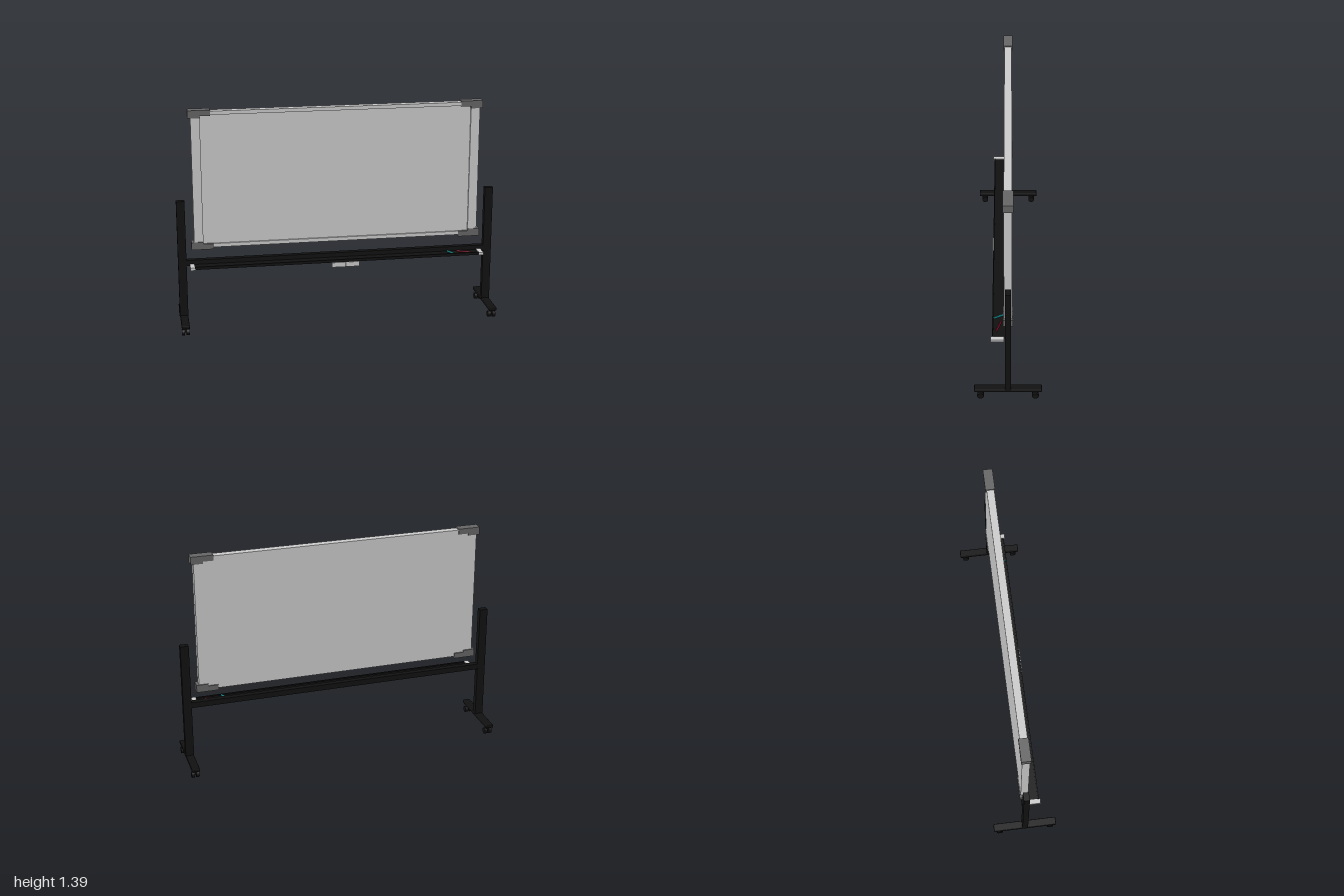
import * as THREE from 'three';
import { RoundedBoxGeometry } from 'three/addons/geometries/RoundedBoxGeometry.js';

const mat = (color) => new THREE.MeshStandardMaterial({ color });
const grey = mat(0xcccccc), dark = mat(0x666666), black = mat(0x111111);
const cyan = mat(0x22cccc), red = mat(0xaa1133);

export function createModel() {
  const model = new THREE.Group();

  function add(name, geometry, material, x = 0, y = 0, z = 0, parent = model) {
    const mesh = new THREE.Mesh(geometry, material);
    mesh.name = name;
    mesh.position.set(x, y, z);
    parent.add(mesh);
    return mesh;
  }
  // Box given by its limits on each axis
  const box = (name, material, [x0, x1], [y0, y1], [z0, z1], parent) =>
    add(name, new THREE.BoxGeometry(x1 - x0, y1 - y0, z1 - z0), material,
      (x0 + x1) / 2, (y0 + y1) / 2, (z0 + z1) / 2, parent);
  const points = (list) => list.map(([x, y]) => new THREE.Vector2(x, y));
  const extrude = (shape, depth) => new THREE.ExtrudeGeometry(shape, { depth, bevelEnabled: false });

  // Writing board: flat backing with a raised frame on the front
  const L = 0.897, bottom = 0.517, top = 1.378, inX = 0.84, inB = 0.54, inT = 1.355;
  box('boardPanel', grey, [-L, L], [bottom, top], [-0.022, 0.013]);
  const frame = new THREE.Shape(points([[-L, bottom], [L, bottom], [L, top], [-L, top]]));
  frame.holes.push(new THREE.Path(points([[-inX, inB], [-inX, inT], [inX, inT], [inX, inB]])));
  add('boardFrame', extrude(frame, 0.011), grey, 0, 0, 0.013);

  // Stepped corner caps
  for (const sx of [-1, 1]) {
    for (const sy of [-1, 1]) {
      const cap = points([[0, 0], [0.137, 0], [0.137, 0.035], [0.075, 0.035], [0.075, 0.048], [0, 0.048]]
        .map(([x, y]) => [-sx * x, -sy * y]));
      add('cornerCap', extrude(new THREE.Shape(cap), 0.058), dark,
        sx * 0.914, sy > 0 ? 1.386 : 0.506, -0.029);
    }
  }

  // Uprights, feet and twin-wheel casters
  const wheelGeometry = new THREE.CylinderGeometry(0.02, 0.02, 0.019, 16).rotateZ(Math.PI / 2);
  for (const sx of [-1, 1]) {
    const side = new THREE.Group();
    side.name = sx > 0 ? 'leftStand' : 'rightStand';
    side.position.x = sx * 0.974;
    model.add(side);
    box('post', black, [-0.026, 0.026], [0.07, 0.818], [-0.018, 0.018], side);
    add('foot', new RoundedBoxGeometry(0.05, 0.021, 0.404, 1, 0.005), black, 0, 0.063, 0, side);
    for (const z of [-0.164, 0.164]) {
      add('casterStem', new THREE.CylinderGeometry(0.008, 0.008, 0.035, 10), black, 0, 0.04, z, side);
      add('casterAxle', new THREE.CylinderGeometry(0.006, 0.006, 0.03, 8).rotateZ(Math.PI / 2),
        black, 0, 0.022, z, side);
      for (const dx of [-0.0145, 0.0145]) add('casterWheel', wheelGeometry, black, dx, 0.02, z, side);
    }
  }

  // Rail between the uprights
  box('crossRail', black, [-0.95, 0.95], [0.4, 0.436], [-0.017, 0.018]);

  // Pen tray: floor with a low front lip, closed by end caps
  const tray = new THREE.Group();
  tray.name = 'penTray';
  model.add(tray);
  box('trayFloor', black, [-0.9, 0.9], [0.398, 0.408], [0.018, 0.094], tray);
  box('trayLip', black, [-0.9, 0.9], [0.398, 0.416], [0.087, 0.094], tray);
  for (const sx of [-1, 1]) {
    const x = [sx * 0.9, sx * 0.929].sort((a, b) => a - b);
    box('trayEndCap', grey, x, [0.397, 0.414], [0.022, 0.102], tray);
  }

  // Eraser holder in two halves under the tray
  box('eraserHolder', grey, [-0.047, 0.039], [0.368, 0.398], [0.07, 0.099]);
  box('eraserHolder', grey, [0.041, 0.128], [0.368, 0.398], [0.07, 0.099]);

  // Markers lying in the tray
  function marker(name, material, x0, z0, x1, z1) {
    const length = Math.hypot(x1 - x0, z1 - z0);
    const pen = add(name, new THREE.CylinderGeometry(0.005, 0.005, length, 10).rotateZ(Math.PI / 2),
      material, (x0 + x1) / 2, 0.413, (z0 + z1) / 2);
    pen.rotation.y = -Math.atan2(z1 - z0, x1 - x0);
  }
  marker('cyanMarker', cyan, 0.71, 0.03, 0.738, 0.083);
  marker('redMarker', red, 0.768, 0.04, 0.848, 0.068);

  return model;
}
